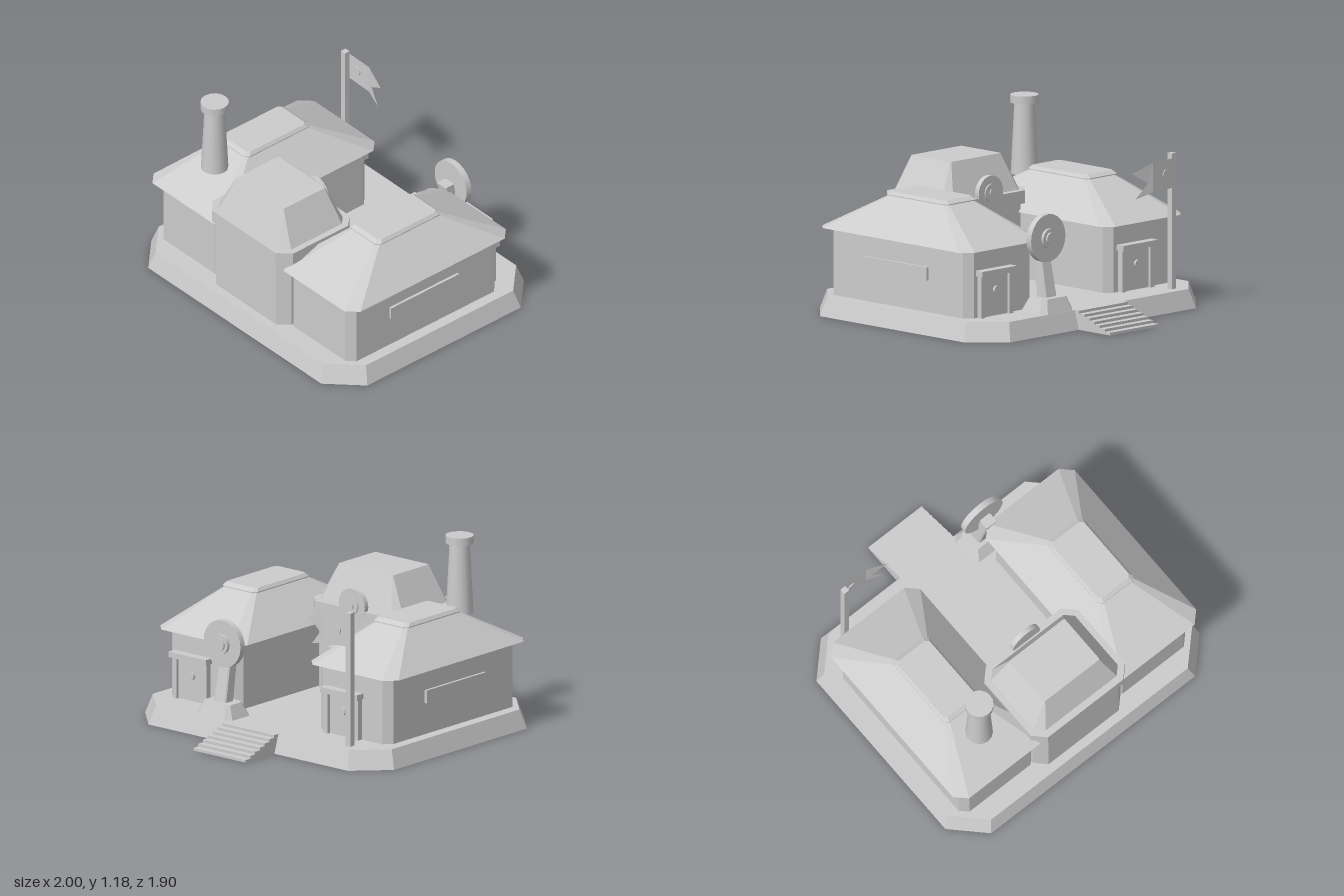
import * as THREE from 'three';

// Double-sided: the platform and stairs are open underneath, the flag is a sheet
const stone = new THREE.MeshStandardMaterial({ color: 0xcccccc, side: THREE.DoubleSide });
stone.name = 'plain grey';

function mesh(name, geometry, x = 0, y = 0, z = 0) {
  const m = new THREE.Mesh(geometry, stone);
  m.name = name;
  m.position.set(x, y, z);
  return m;
}

function group(name, ...parts) {
  const g = new THREE.Group();
  g.name = name;
  g.add(...parts);
  return g;
}

// Flat-faced geometry from a list of corner positions
function facets(points) {
  const g = new THREE.BufferGeometry();
  g.setAttribute('position', new THREE.Float32BufferAttribute(points.flat(), 3));
  g.computeVertexNormals();
  return g;
}

// Rectangle with cut corners: x range, z range, corner cut
function ring(y, x0, x1, z0, z1, c) {
  return [[x1, z0 + c], [x1, z1 - c], [x1 - c, z1], [x0 + c, z1],
    [x0, z1 - c], [x0, z0 + c], [x0 + c, z0], [x1 - c, z0]].map(([x, z]) => [x, y, z]);
}

// Flat-faced shell through a stack of rings, bottom to top
function loft(name, rings, openBottom = false) {
  const p = [], n = 8;
  for (let k = 0; k + 1 < rings.length; k++) {
    for (let i = 0; i < n; i++) {
      const j = (i + 1) % n, a = rings[k], b = rings[k + 1];
      p.push(a[i], b[i], b[j], a[i], b[j], a[j]);
    }
  }
  const lo = rings[0], hi = rings[rings.length - 1];
  for (let i = 1; i + 1 < n; i++) {
    p.push(hi[0], hi[i + 1], hi[i]);
    if (!openBottom) p.push(lo[0], lo[i], lo[i + 1]);
  }
  return mesh(name, facets(p));
}

// Box given by its ranges
const box = (name, x0, x1, y0, y1, z0, z1) => mesh(name,
  new THREE.BoxGeometry(x1 - x0, y1 - y0, z1 - z0), (x0 + x1) / 2, (y0 + y1) / 2, (z0 + z1) / 2);

// Round plate whose axis runs along z
function disc(name, r, depth, x, y, z, sides = 24) {
  const g = new THREE.CylinderGeometry(r, r, depth, sides).rotateX(Math.PI / 2);
  return mesh(name, g, x, y, z);
}

// Door on a back wall at depth z, with half the lintel width
function door(x, z, half) {
  return group('door',
    box('doorPanel', x - 0.105, x + 0.105, 0.118, 0.376, z - 0.015, z + 0.01),
    box('doorPost', x - 0.138, x - 0.105, 0.118, 0.376, z - 0.035, z + 0.01),
    box('doorPost', x + 0.105, x + 0.138, 0.118, 0.376, z - 0.035, z + 0.01),
    box('lintel', x - half, x + half, 0.376, 0.411, z - 0.056, z + 0.01),
    disc('doorEmblem', 0.025, 0.02, x - 0.005, 0.277, z - 0.02, 12));
}

function wing(s) {
  const about = c => (y, hx, z0, z1, cut) => ring(y, s * c - hx, s * c + hx, z0, z1, cut);
  const wall = about(0.6025), roof = about(0.6075);
  const out = s * 0.895;
  return group(s > 0 ? 'leftWing' : 'rightWing',
    loft('wingWalls', [wall(0.118, 0.2875, -0.413, 0.79, 0.047), wall(0.55, 0.2875, -0.413, 0.79, 0.047)]),
    loft('wingRoof', [roof(0.537, 0.35, -0.465, 0.84, 0.07), roof(0.762, 0.12, -0.06, 0.43, 0.02)]),
    loft('roofCap', [roof(0.758, 0.139, -0.08, 0.445, 0.025), roof(0.764, 0.139, -0.08, 0.445, 0.025),
      roof(0.784, 0.123, -0.05, 0.42, 0.02)]),
    box('sidePanel', out - 0.012, out + 0.012, 0.316, 0.397, -0.073, 0.477),
    door(s > 0 ? 0.675 : -0.54, -0.415, 0.15));
}

function centralHall() {
  return group('centralHall',
    loft('hallWalls', [ring(0.118, -0.343, 0.343, 0.3, 0.858, 0.067), ring(0.6, -0.343, 0.343, 0.3, 0.858, 0.067)]),
    loft('hallCollar', [ring(0.59, -0.37, 0.37, 0.28, 0.877, 0.075), ring(0.67, -0.37, 0.37, 0.28, 0.877, 0.075)]),
    loft('hallRoof', [ring(0.67, -0.33, 0.33, 0.322, 0.833, 0.05), ring(0.895, -0.217, 0.217, 0.408, 0.748, 0.005)]),
    door(0, 0.298, 0.173),
    disc('roundel', 0.105, 0.033, 0, 0.695, 0.295),
    disc('roundelRing', 0.055, 0.012, 0, 0.695, 0.276, 16),
    disc('roundelKnob', 0.022, 0.012, 0, 0.695, 0.268, 12));
}

function chimney() {
  const shaft = new THREE.CylinderGeometry(0.062, 0.084, 0.447, 16);
  const cap = new THREE.CylinderGeometry(0.087, 0.087, 0.048, 16);
  return group('chimney', mesh('chimneyShaft', shaft, -0.6, 0.92, 0.588),
    mesh('chimneyCap', cap, -0.6, 1.16, 0.588));
}

function flag() {
  // Swallow-tailed cloth, the tail swinging forwards
  const sheet = new THREE.Shape([[-0.715, 0.93], [-0.525, 0.925], [-0.525, 0.742], [-0.715, 0.748]]
    .map(p => new THREE.Vector2(...p)));
  const top = [-0.525, 0.925, -0.592], bottom = [-0.525, 0.742, -0.592], notch = [-0.49, 0.8, -0.582];
  const tail = facets([top, notch, [-0.375, 0.868, -0.555], top, bottom, notch,
    bottom, [-0.403, 0.707, -0.56], notch]);
  return group('flag',
    box('flagPole', -0.732, -0.694, 0.118, 0.958, -0.583, -0.545),
    mesh('flagCloth', new THREE.ShapeGeometry(sheet), 0, 0, -0.592),
    mesh('flagTail', tail),
    disc('flagEmblem', 0.03, 0.014, -0.635, 0.84, -0.592, 12));
}

function wheelStand() {
  const x = 0.332;
  const r = (y, hx, z0, z1, c) => ring(y, x - hx, x + hx, z0, z1, c);
  return group('wheelStand',
    loft('standFoot', [r(0.118, 0.14, -0.645, -0.42, 0.035), r(0.205, 0.105, -0.615, -0.465, 0.025)]),
    loft('leaningPost', [r(0.2, 0.05, -0.572, -0.492, 0.008), r(0.58, 0.04, -0.498, -0.428, 0.008)]),
    disc('wheel', 0.148, 0.04, x, 0.565, -0.524),
    disc('wheelHub', 0.06, 0.02, x, 0.565, -0.552, 16),
    disc('wheelHubCap', 0.038, 0.014, x, 0.565, -0.567, 16));
}

// Risers and treads as a folded sheet with two side walls, open underneath
function stairs() {
  const steps = 7, rise = 0.118 / steps, run = 0.044, half = 0.21, profile = [];
  for (let i = 0; i < steps; i++) {
    const z = -0.952 + i * run;
    profile.push([z, i * rise], [z, (i + 1) * rise]);
  }
  profile.push([-0.648, 0.118]);

  const p = [];
  for (let i = 0; i + 1 < profile.length; i++) {
    const [[z0, y0], [z1, y1]] = [profile[i], profile[i + 1]];
    const a = [half, y0, z0], b = [-half, y0, z0], c = [-half, y1, z1], d = [half, y1, z1];
    p.push(a, b, c, a, c, d);
  }
  const outline = new THREE.Shape([...profile, [-0.685, 0]].map(q => new THREE.Vector2(...q)));
  const side = () => new THREE.ShapeGeometry(outline).rotateY(-Math.PI / 2);
  return group('stairs', mesh('treads', facets(p)),
    mesh('stairSide', side(), half), mesh('stairSide', side(), -half));
}

export function createModel() {
  return group('building',
    loft('platform', [ring(0, -1, 1, -0.685, 0.949, 0.198), ring(0.118, -0.96, 0.96, -0.648, 0.914, 0.187)], true),
    wing(1), wing(-1), centralHall(), chimney(), flag(), wheelStand(), stairs());
}
